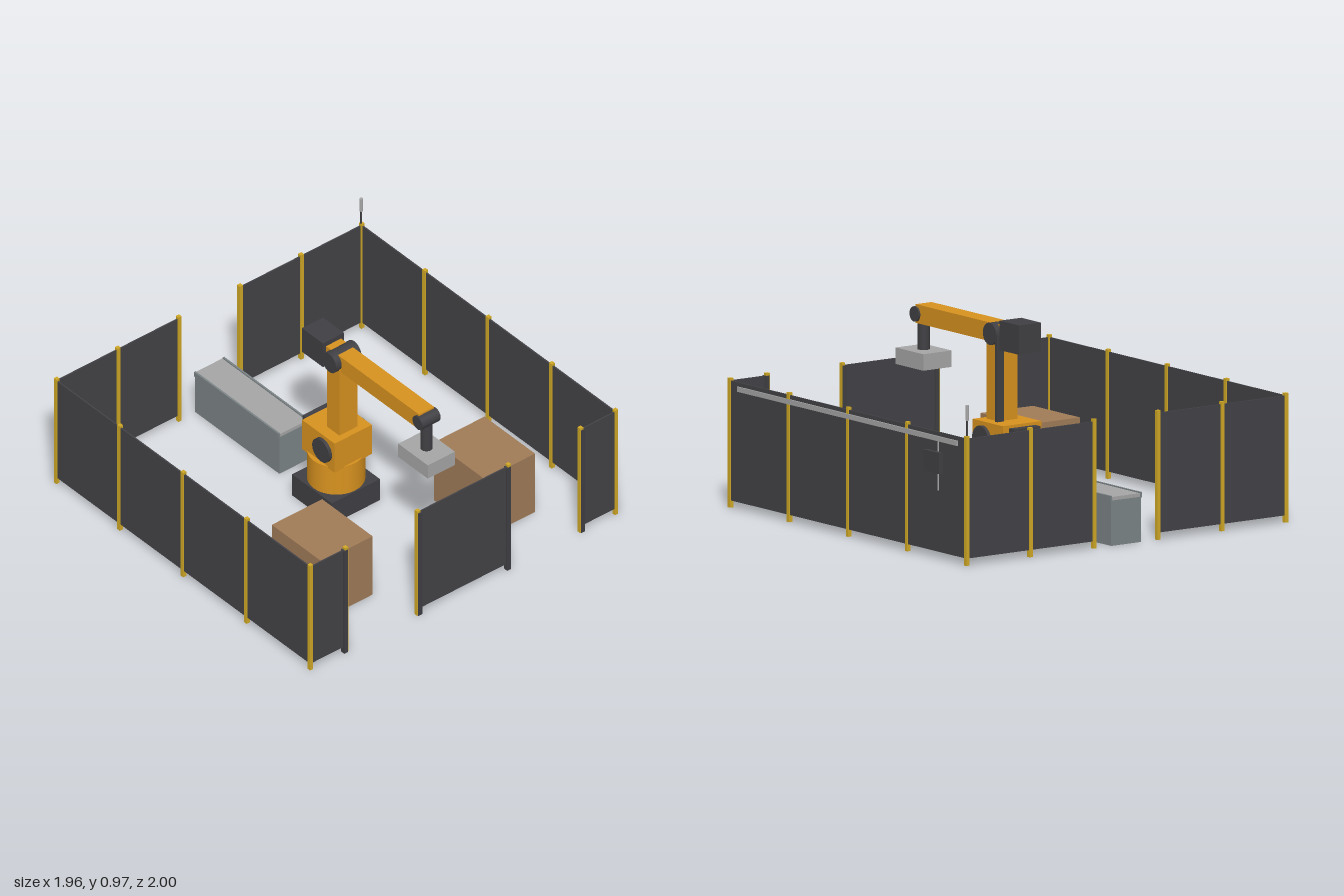
import * as THREE from 'three';

const mat = (name, color) => {
  const m = new THREE.MeshStandardMaterial({ color });
  m.name = name;
  return m;
};

export function createModel() {
  const root = new THREE.Group();
  root.name = 'robotCell';
  const orange = mat('robot orange', 0xd8921f);
  const yellow = mat('post yellow', 0xd0a825);
  const dark = mat('dark grey', 0x404044);
  const panelMat = mat('panel charcoal', 0x434347);
  const lightGrey = mat('light grey', 0xa6a6a6);
  const steel = mat('conveyor grey', 0x7c8486);
  const cardboard = mat('cardboard', 0xa07c58);

  const add = (parent, name, geo, material, x, y, z) => {
    const m = new THREE.Mesh(geo, material);
    m.name = name;
    m.position.set(x, y, z);
    parent.add(m);
    return m;
  };
  // Box given by its minimum and maximum on each axis
  const box = (parent, name, material, [x0, x1], [y0, y1], [z0, z1]) =>
    add(parent, name, new THREE.BoxGeometry(x1 - x0, y1 - y0, z1 - z0), material,
      (x0 + x1) / 2, (y0 + y1) / 2, (z0 + z1) / 2);
  // Upright cylinder between two heights
  const column = (parent, name, material, r, x, [y0, y1], z) =>
    add(parent, name, new THREE.CylinderGeometry(r, r, y1 - y0, 32), material, x, (y0 + y1) / 2, z);
  // Cylinder lying along z
  const axle = (parent, name, material, r, x, y, [z0, z1]) => {
    const m = add(parent, name, new THREE.CylinderGeometry(r, r, z1 - z0, 32), material, x, y, (z0 + z1) / 2);
    m.rotation.x = Math.PI / 2;
    return m;
  };
  const group = (name) => {
    const g = new THREE.Group();
    g.name = name;
    root.add(g);
    return g;
  };

  // Safety fence
  const fence = group('safetyFence');
  const S = 0.968, ZB = -0.95, ZF = 0.988, T = 0.004;
  const post = (x, z) =>
    box(fence, 'fencePost', yellow, [x - 0.01, x + 0.01], [0, 0.643], [z - 0.01, z + 0.01]);
  const panelY = [0.035, 0.63];
  const panelX = (x0, x1, z) => box(fence, 'fencePanel', panelMat, [x0, x1], panelY, [z - T, z + T]);
  const panelZ = (x, z0, z1) => box(fence, 'fencePanel', panelMat, [x - T, x + T], panelY, [z0, z1]);
  for (const z of [ZB, ZF]) {
    for (let i = 0; i < 5; i++) {
      const x = -S + (i * S) / 2;
      post(x, z);
      if (i < 4) panelX(x, x + S / 2, z);
    }
  }
  // Conveyor side, with an opening in the middle
  for (const z of [-0.565, -0.177, 0.212, 0.6]) post(-S, z);
  for (const [a, b] of [[ZB, -0.565], [-0.565, -0.177], [0.212, 0.6], [0.6, ZF]]) panelZ(-S, a, b);
  // Loading side, with two openings guarded by sensor bars
  for (const [a, b] of [[ZB, -0.728], [-0.27, 0.307], [0.765, ZF]]) panelZ(S, a, b);
  for (const [z, side] of [[-0.728, -1], [-0.27, 1], [0.307, -1], [0.765, 1]]) {
    post(S, z);
    add(fence, 'sensorBar', new THREE.BoxGeometry(0.026, 0.63, 0.024), dark, S + 0.001, 0.315, z + side * 0.007);
  }
  // Cable tray, control panel and signal light
  box(fence, 'cableTray', lightGrey, [-0.9, 0.9], [0.585, 0.61], [-0.962, -0.953]);
  box(fence, 'controlPanel', dark, [-0.81, -0.68], [0.435, 0.54], [-1, -0.978]);
  column(fence, 'controlCable', lightGrey, 0.004, -0.745, [0.34, 0.59], -0.958);
  column(fence, 'signalPole', dark, 0.005, -S, [0.64, 0.72], ZB + 0.003);
  column(fence, 'signalLight', lightGrey, 0.009, -S, [0.72, 0.795], ZB + 0.003);

  // Conveyor
  const conveyor = group('conveyor');
  box(conveyor, 'conveyorBody', steel, [-0.97, -0.325], [0, 0.225], [-0.073, 0.108]);
  box(conveyor, 'conveyorBelt', lightGrey, [-0.97, -0.325], [0.225, 0.243], [-0.066, 0.101]);
  for (const z of [-0.073, 0.108])
    box(conveyor, 'conveyorRail', steel, [-0.97, -0.325], [0.22, 0.248], [z - 0.005, z + 0.005]);

  // Carton stacks
  for (const z of [-0.497, 0.535])
    box(root, 'cartonStack', cardboard, [0.322, 0.707], [0, 0.36], [z - 0.16, z + 0.16]);

  // Robot base and shoulder
  const robot = group('robot');
  const ZC = 0.018;
  box(robot, 'basePlinth', dark, [-0.153, 0.15], [0, 0.13], [-0.135, 0.17]);
  column(robot, 'turret', orange, 0.143, 0, [0.13, 0.3], ZC);
  box(robot, 'shoulder', orange, [-0.118, 0.13], [0.29, 0.47], [-0.1, 0.136]);
  axle(robot, 'shoulderJoint', dark, 0.065, 0.045, 0.385, [-0.118, 0.154]);
  box(robot, 'shoulderMotor', dark, [-0.16, -0.118], [0.305, 0.455], [-0.062, 0.098]);

  // Upper arm and elbow
  box(robot, 'upperArm', orange, [0, 0.095], [0.46, 0.9], [-0.04, 0.077]);
  box(robot, 'cableSpine', dark, [-0.018, 0.002], [0.47, 0.9], [-0.06, -0.018]);
  axle(robot, 'elbowJoint', dark, 0.055, 0.045, 0.9, [-0.06, 0.1]);
  box(robot, 'counterweight', dark, [-0.18, -0.02], [0.828, 0.974], [-0.048, 0.085]);

  // Forearm, wrist and gripper
  box(robot, 'forearm', orange, [-0.02, 0.69], [0.855, 0.948], [-0.03, 0.066]);
  axle(robot, 'wristJoint', dark, 0.038, 0.69, 0.9, [-0.04, 0.076]);
  column(robot, 'wristShaft', dark, 0.03, 0.69, [0.72, 0.88], ZC);
  box(robot, 'gripper', lightGrey, [0.577, 0.803], [0.638, 0.72], [-0.068, 0.104]);

  return root;
}
